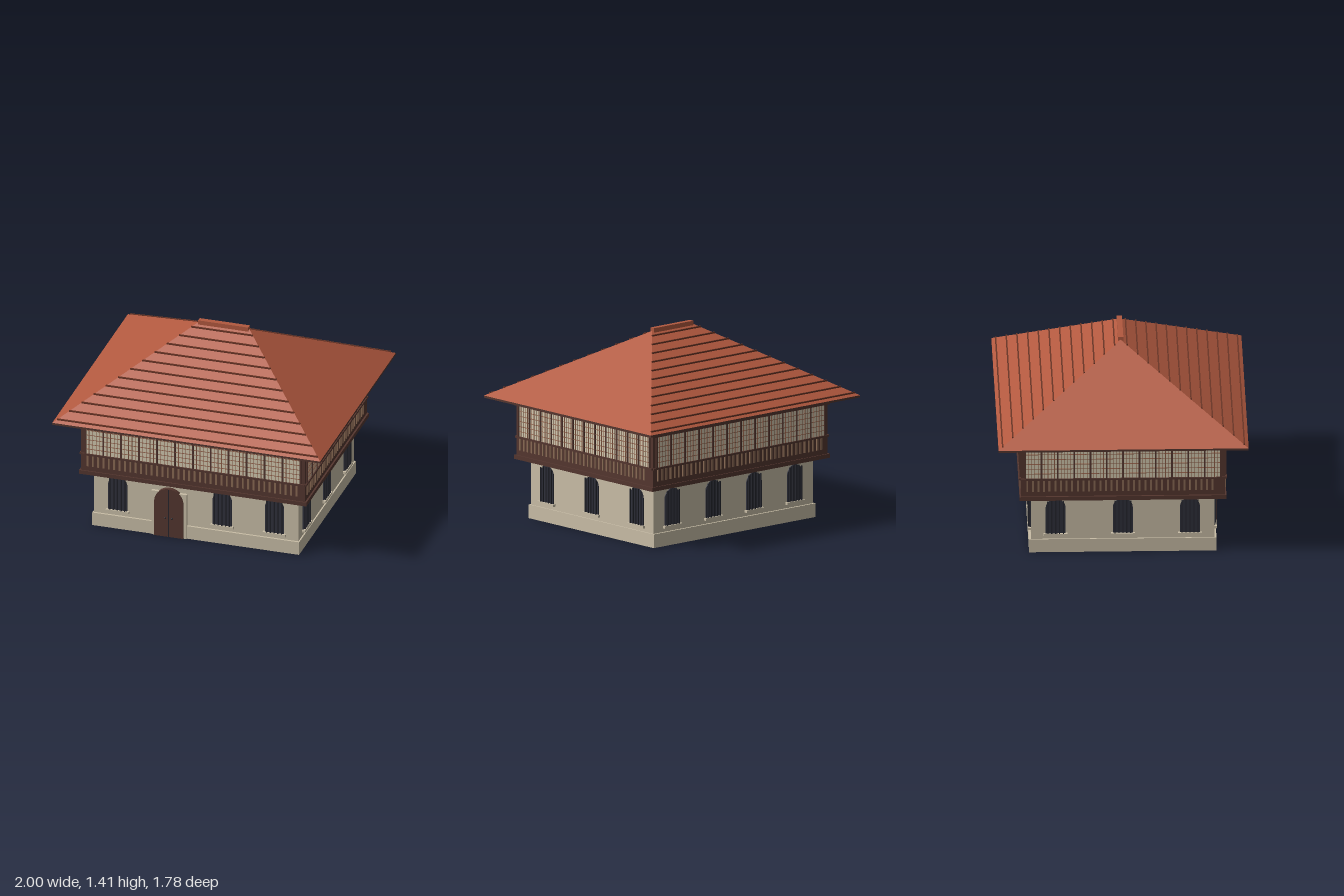
import * as THREE from 'three';
import { mergeGeometries } from 'three/addons/utils/BufferGeometryUtils.js';

const mat = (name, color, side = THREE.FrontSide) => {
  const m = new THREE.MeshStandardMaterial({ color, side });
  m.name = name;
  return m;
};

export function createModel() {
  const model = new THREE.Group();
  model.name = 'house';
  const stone = mat('stone', 0xc9bea7);
  const wood = mat('darkWood', 0x54362f);
  const tile = mat('roofTile', 0xb2593f);
  const tileEdge = mat('tileEdge', 0x6a3526);
  const glass = mat('windowDark', 0x2f303b);
  const iron = mat('ironBars', 0x24252d);
  const pane = mat('shellPane', 0xd3c9b0);
  const lattice = mat('lattice', 0x8c5c46);
  const baluster = mat('baluster', 0x8a6a54);

  const add = (parent, name, geo, material) => {
    const m = new THREE.Mesh(geo, material);
    m.name = name;
    parent.add(m);
    return m;
  };
  // Box from its extents
  const box = (x0, x1, y0, y1, z0, z1) =>
    new THREE.BoxGeometry(x1 - x0, y1 - y0, z1 - z0)
      .translate((x0 + x1) / 2, (y0 + y1) / 2, (z0 + z1) / 2);
  const slab = (hx, hz, y0, y1) => box(-hx, hx, y0, y1, -hz, hz);
  // Round-arched plate standing on y0
  const arch = (x, r, y0, top, z0, z1) => {
    const s = new THREE.Shape();
    s.moveTo(x - r, y0);
    s.lineTo(x + r, y0);
    s.lineTo(x + r, top - r);
    s.absarc(x, top - r, r, 0, Math.PI, false);
    s.closePath();
    return new THREE.ExtrudeGeometry(s, { depth: z1 - z0, bevelEnabled: false, curveSegments: 16 })
      .translate(0, 0, z0);
  };

  // Main masses
  add(model, 'plinth', slab(0.772, 0.667, 0, 0.1), stone);
  add(model, 'lowerWalls', slab(0.762, 0.652, 0.1, 0.435), stone);
  add(model, 'floorLedge', slab(0.848, 0.736, 0.432, 0.462), wood);
  add(model, 'upperWalls', slab(0.835, 0.727, 0.462, 0.876), wood);

  // Lower-storey windows with bars and sills, in a side's own frame
  function lowerWindows(side, xs, d) {
    const panes = [], bars = [], sills = [];
    for (const x of xs) {
      panes.push(arch(x, 0.071, 0.145, 0.41, d - 0.01, d + 0.008));
      sills.push(box(x - 0.085, x + 0.085, 0.127, 0.145, d - 0.01, d + 0.022));
      for (let i = -2; i <= 2; i++) {
        const bx = x + i * 0.028;
        const top = Math.abs(i) === 2 ? 0.395 : 0.405;
        bars.push(box(bx - 0.004, bx + 0.004, 0.145, top, d + 0.01, d + 0.019));
      }
    }
    add(side, 'windowOpenings', mergeGeometries(panes), glass);
    add(side, 'windowBars', mergeGeometries(bars), iron);
    add(side, 'windowSills', mergeGeometries(sills), stone);
  }

  // Upper-storey sliding windows, balusters and rails
  function gallery(side, half, w, d) {
    const n = 12, step = (2 * w) / n, y0 = 0.6, y1 = 0.823;
    add(side, 'shellPanes', box(-w, w, y0, y1, d - 0.004, d + 0.003), pane);
    const grid = [], frame = [], posts = [];
    for (let i = 0; i <= n; i++) {
      const x = -w + i * step;
      frame.push(box(x - 0.006, x + 0.006, y0, y1, d, d + 0.01));
      if (i < n) for (let j = 1; j < 5; j++) {
        const gx = x + (j * step) / 5;
        grid.push(box(gx - 0.002, gx + 0.002, y0, y1, d, d + 0.006));
      }
    }
    for (let j = 1; j < 6; j++) {
      const y = y0 + (j * (y1 - y0)) / 6;
      grid.push(box(-w, w, y - 0.002, y + 0.002, d, d + 0.006));
    }
    frame.push(box(-half - 0.01, half + 0.01, 0.822, 0.836, d - 0.005, d + 0.012));
    frame.push(box(-half, half, 0.587, 0.601, d - 0.005, d + 0.012));
    for (let x = -w + 0.015; x < w - 0.02; x += 0.04)
      posts.push(box(x - 0.007, x + 0.007, 0.5, 0.587, d - 0.005, d + 0.007));
    add(side, 'lattice', mergeGeometries(grid), lattice);
    add(side, 'windowFrames', mergeGeometries(frame), wood);
    add(side, 'balusters', mergeGeometries(posts), baluster);
  }

  // Four sides: rotation, window positions, half width, band half width, wall distances
  const long = [-0.585, -0.195, 0.195, 0.585];
  const short = [-0.478, 0, 0.478];
  const sides = [
    ['frontSide', 0, long.filter((x) => x !== -0.195), 0.835, 0.802, 0.652, 0.727],
    ['leftSide', Math.PI / 2, short, 0.727, 0.697, 0.762, 0.835],
    ['backSide', Math.PI, long, 0.835, 0.802, 0.652, 0.727],
    ['rightSide', -Math.PI / 2, short, 0.727, 0.697, 0.762, 0.835],
  ];
  for (const [name, angle, xs, half, w, dLow, dUp] of sides) {
    const side = new THREE.Group();
    side.name = name;
    side.rotation.y = angle;
    lowerWindows(side, xs, dLow);
    gallery(side, half, w, dUp);
    model.add(side);
  }

  // Entrance: stone surround, arched double door, knobs
  const door = new THREE.Group();
  door.name = 'entrance';
  door.position.x = -0.197;
  add(door, 'doorSurround', box(-0.132, 0.132, 0, 0.35, 0.64, 0.674), stone);
  add(door, 'doorLeaves', arch(0, 0.108, 0, 0.381, 0.64, 0.681), wood);
  add(door, 'doorGap', box(-0.0025, 0.0025, 0, 0.376, 0.68, 0.683), iron);
  for (const s of [-1, 1])
    add(door, 'doorKnob', new THREE.SphereGeometry(0.007, 10, 8).translate(s * 0.025, 0.15, 0.683), iron);
  model.add(door);

  // Hipped roof
  const X = 1, Z = 0.89, R = 0.19, E = 0.89, T = 1.388;
  add(model, 'eaves', slab(X, Z, 0.875, E), wood);
  const a = [-X, E, Z], b = [X, E, Z], c = [X, E, -Z], d = [-X, E, -Z], l = [-R, T, 0], r = [R, T, 0];
  const hip = new THREE.BufferGeometry();
  hip.setAttribute('position', new THREE.Float32BufferAttribute(
    [a, b, r, a, r, l, c, d, l, c, l, r, b, c, r, d, a, l].flat(), 3));
  hip.computeVertexNormals();
  add(model, 'roof', hip, tile);

  // Tile courses on the front and back slopes
  const courses = [];
  for (let i = 0; i < 12; i++) {
    const t = (i + 0.4) / 12;
    const z = Z * (1 - t), y = E + (T - E) * t, hx = X + (R - X) * t;
    for (const s of [-1, 1])
      courses.push(box(-hx, hx, y - 0.006, y + 0.008, s * z - 0.005, s * z + 0.005));
  }
  add(model, 'tileCourses', mergeGeometries(courses), tileEdge);
  add(model, 'ridgeCap', box(-0.187, 0.187, 1.372, 1.41, -0.019, 0.019), tile);

  return model;
}
